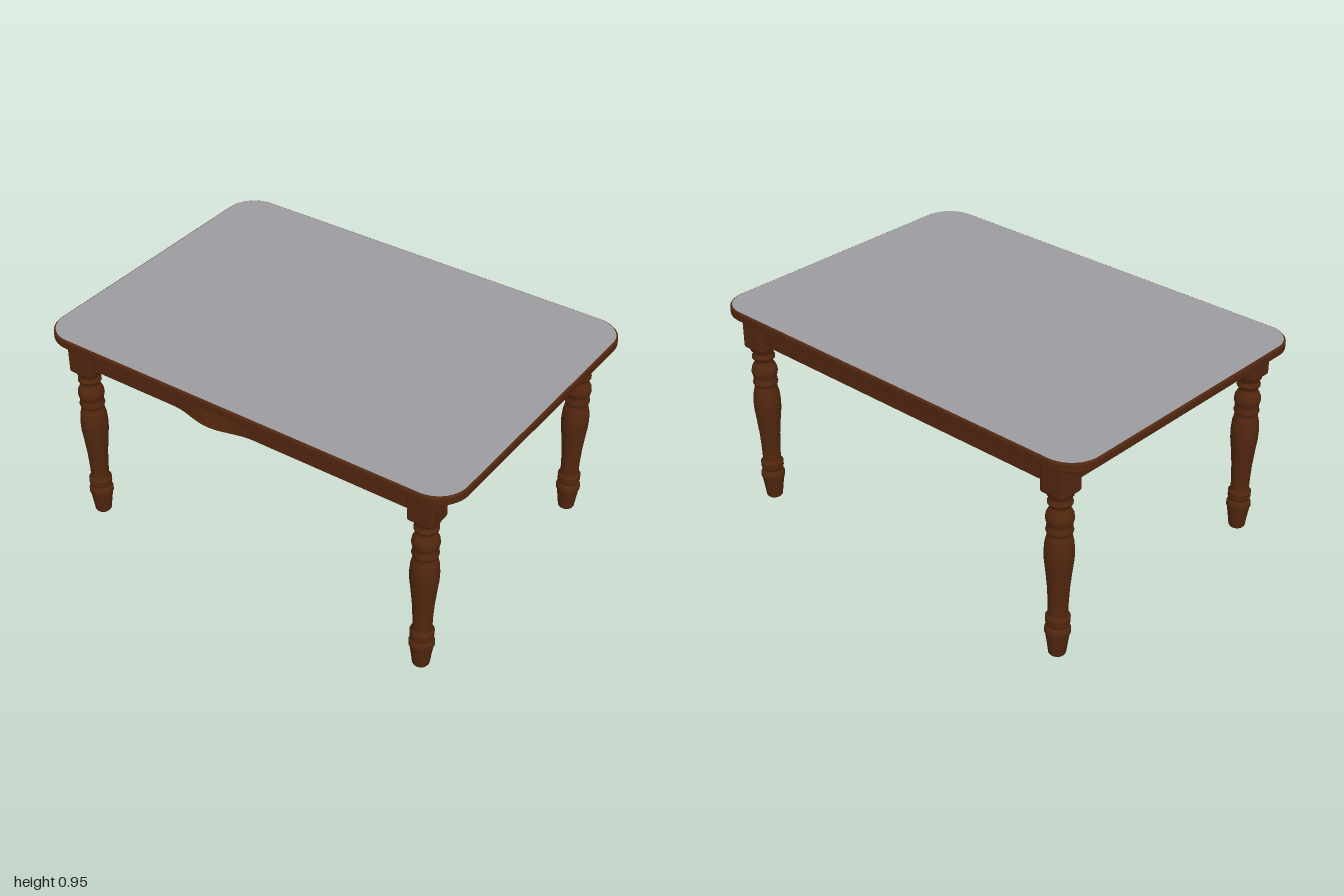
import * as THREE from 'three';
import { RoundedBoxGeometry } from 'three/addons/geometries/RoundedBoxGeometry.js';

const LEG_X = 0.845, LEG_Z = 0.605;
const APRON_Y = 0.795, APRON_H = 0.12, APRON_T = 0.045;

// Rounded rectangle shared by the slab and its surface
function roundedRect(w, d, r) {
  const s = new THREE.Shape(), x = w / 2, y = d / 2;
  s.absarc(x - r, y - r, r, 0, Math.PI / 2);
  s.absarc(-x + r, y - r, r, Math.PI / 2, Math.PI);
  s.absarc(-x + r, -y + r, r, Math.PI, Math.PI * 1.5);
  s.absarc(x - r, -y + r, r, Math.PI * 1.5, Math.PI * 2);
  s.closePath();
  return s;
}

// Turned leg outline as [radius, height]
const LEG_PROFILE = [
  [0, 0], [0.032, 0], [0.036, 0.006], [0.043, 0.06], [0.049, 0.098], [0.053, 0.108],
  [0.053, 0.125], [0.047, 0.137], [0.042, 0.143], [0.047, 0.15], [0.05, 0.158],
  [0.047, 0.167], [0.05, 0.173], [0.05, 0.182], [0.043, 0.19], [0.04, 0.2],
  [0.041, 0.25], [0.045, 0.32], [0.053, 0.4], [0.059, 0.45], [0.06, 0.49],
  [0.057, 0.53], [0.05, 0.56], [0.044, 0.573], [0.053, 0.58], [0.055, 0.588],
  [0.05, 0.596], [0.052, 0.604], [0.046, 0.611], [0.053, 0.622], [0.057, 0.64],
  [0.054, 0.66], [0.045, 0.678], [0.038, 0.688], [0.04, 0.7], [0.05, 0.708],
  [0.05, 0.717], [0.041, 0.726], [0.043, 0.738], [0.053, 0.747], [0.053, 0.765],
];

export function createModel() {
  const wood = new THREE.MeshStandardMaterial({ name: 'dark brown wood', color: 0x52270f });
  const grey = new THREE.MeshStandardMaterial({ name: 'grey surface', color: 0x9d9ca1 });
  const table = new THREE.Group();
  table.name = 'diningTable';

  const add = (name, geometry, material, x = 0, y = 0, z = 0, parent = table) => {
    const mesh = new THREE.Mesh(geometry, material);
    mesh.name = name;
    mesh.position.set(x, y, z);
    parent.add(mesh);
    return mesh;
  };

  // Table top with softened rim
  const bevel = 0.008;
  const slab = new THREE.ExtrudeGeometry(roundedRect(2 - 2 * bevel, 1.42 - 2 * bevel, 0.13), {
    depth: 0.04 - 2 * bevel, bevelEnabled: true, bevelSize: bevel,
    bevelThickness: bevel, bevelSegments: 3, curveSegments: 14,
  });
  slab.rotateX(-Math.PI / 2);
  add('topSlab', slab, wood, 0, 0.91 + bevel, 0);
  const surface = new THREE.ShapeGeometry(roundedRect(1.983, 1.403, 0.13), 14);
  surface.rotateX(-Math.PI / 2);
  add('topSurface', surface, grey, 0, 0.9512, 0);

  // Four turned legs with square blocks
  const points = LEG_PROFILE.map(([r, y]) => new THREE.Vector2(r, y));
  const turning = new THREE.LatheGeometry(points, 28);
  const block = new RoundedBoxGeometry(0.116, 0.165, 0.116, 2, 0.012);
  for (const sx of [-1, 1]) for (const sz of [-1, 1]) {
    const leg = new THREE.Group();
    leg.name = (sz > 0 ? 'front' : 'back') + (sx > 0 ? 'Left' : 'Right') + 'Leg';
    leg.position.set(sx * LEG_X, 0, sz * LEG_Z);
    add('turnedPost', turning, wood, 0, 0, 0, leg);
    add('legBlock', block, wood, 0, 0.838, 0, leg);
    table.add(leg);
  }

  // Aprons between the blocks
  const y = APRON_Y + APRON_H / 2;
  const longApron = new THREE.BoxGeometry(2 * LEG_X, APRON_H, APRON_T);
  const sideApron = new THREE.BoxGeometry(APRON_T, APRON_H, 2 * LEG_Z);
  add('backApron', longApron, wood, 0, y, -0.618);
  for (const s of [-1, 1]) add(s > 0 ? 'leftApron' : 'rightApron', sideApron, wood, s * 0.858, y, 0);

  // Front apron swells outward along part of its lower edge
  const frontApron = new THREE.BoxGeometry(2 * LEG_X, APRON_H, APRON_T, 60, 4, 1);
  const p = frontApron.attributes.position;
  for (let i = 0; i < p.count; i++) {
    if (p.getZ(i) < 0) continue;
    const t = Math.min(1, Math.abs(p.getX(i) + 0.15) / 0.2);
    const low = 0.5 - p.getY(i) / APRON_H;
    p.setZ(i, p.getZ(i) + 0.035 * low * (0.5 + 0.5 * Math.cos(Math.PI * t)));
  }
  frontApron.computeVertexNormals();
  add('frontApron', frontApron, wood, 0, y, 0.618);

  return table;
}
